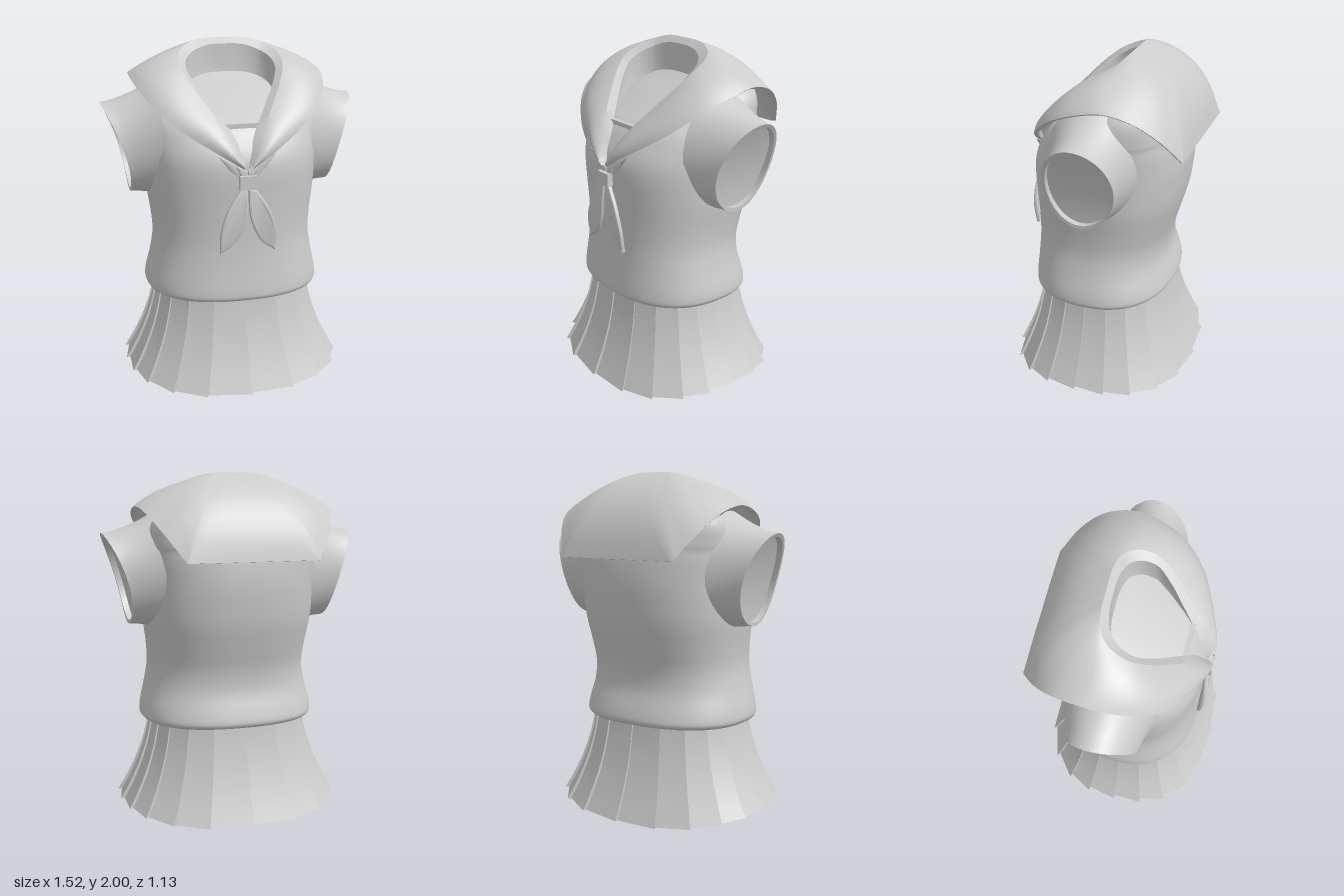
import * as THREE from 'three';
import { toCreasedNormals } from 'three/addons/utils/BufferGeometryUtils.js';

const V = (x, y, z) => new THREE.Vector3(x, y, z);
const cloth = new THREE.MeshStandardMaterial({ color: 0xcccccc, side: THREE.DoubleSide });

// Skin a list of rings
function loft(rings, closed) {
  const n = rings[0].length, index = [];
  for (let r = 0; r < rings.length - 1; r++) {
    for (let i = 0; i < (closed ? n : n - 1); i++) {
      const a = r * n + i, b = r * n + (i + 1) % n;
      index.push(a, b, b + n, a, b + n, a + n);
    }
  }
  const g = new THREE.BufferGeometry().setFromPoints(rings.flat());
  g.setIndex(index);
  g.computeVertexNormals();
  return g;
}

function add(parent, name, geometry) {
  const mesh = new THREE.Mesh(geometry, cloth);
  mesh.name = name;
  parent.add(mesh);
  return mesh;
}

const spow = (v, e) => Math.sign(v) * Math.abs(v) ** e;

// Torso: superellipse sections [y, half width, front z, back z], closed by a slope at the neck
function torsoGeometry() {
  const rows = [
    [0.555, 0.47, 0.39, -0.37], [0.54, 0.5, 0.415, -0.395], [0.555, 0.52, 0.43, -0.412],
    [0.58, 0.526, 0.433, -0.415], [0.64, 0.518, 0.428, -0.4], [0.75, 0.492, 0.417, -0.37],
    [0.87, 0.474, 0.41, -0.375], [1.0, 0.482, 0.41, -0.41], [1.15, 0.503, 0.416, -0.45],
    [1.3, 0.512, 0.422, -0.47], [1.4, 0.515, 0.405, -0.475], [1.5, 0.52, 0.35, -0.47],
    [1.56, 0.52, 0.3, -0.46], [1.6, 0.52, 0.24, -0.455], [1.7, 0.5, 0.07, -0.43],
    [1.77, 0.44, -0.06, -0.39], [1.81, 0.3, -0.13, -0.32], [1.815, 0.01, -0.2, -0.22],
  ];
  const curve = k => new THREE.CatmullRomCurve3(rows.map(r => V(r[1], r[0], r[k])), false, 'catmullrom');
  const front = curve(2), back = curve(3), steps = (rows.length - 1) * 4, rings = [];
  for (let s = 0; s <= steps; s++) {
    const f = front.getPoint(s / steps), b = back.getPoint(s / steps), ring = [];
    const mid = (f.z + b.z) / 2, half = (f.z - b.z) / 2;
    for (let i = 0; i < 112; i++) {
      const a = i / 112 * Math.PI * 2;
      ring.push(V(f.x * spow(Math.sin(a), 0.84), f.y, mid + half * spow(Math.cos(a), 0.84)));
    }
    rings.push(ring);
  }
  return loft(rings, true);
}

// Cap sleeve: wide at the shoulder, easing to a slanted opening with a shallow closed recess
function sleeveGeometry(side) {
  const loop = (t, k, inset) => Array.from({ length: 56 }, (_, i) => {
    const a = i / 56 * Math.PI * 2, c = Math.cos(a), s = Math.sin(a);
    const root = V(0.44, 1.445 + 0.335 * s, -0.04 + 0.268 * c);
    const end = V(0, 1.395 + 0.265 * s * k, -0.045 + (0.205 * c - 0.012 * s) * k);
    end.x = 0.605 + 0.155 * ((1 + s * k) / 2) ** 1.9;
    const x = THREE.MathUtils.lerp(root.x, end.x, t) - inset;
    const p = root.lerp(end, 1 - (1 - t) ** 1.5);
    return V(side * x, p.y, p.z);
  });
  const rings = [0, 0.15, 0.3, 0.45, 0.6, 0.75, 0.9, 1].map(t => loop(t, 1, 0));
  rings.push(loop(1, 0.92, 0), ...[0.92, 0.6, 0.3, 0.01].map(k => loop(1, k, 0.035)));
  return toCreasedNormals(loft(rings, true), 0.7);
}

// Collar: matching neck and outer edges of one half, mirrored over x
function collarGeometry() {
  const neck = [[0.015, 1.36, 0.43], [0.06, 1.45, 0.41], [0.12, 1.56, 0.35], [0.2, 1.68, 0.25],
    [0.27, 1.79, 0.15], [0.307, 1.87, 0.06], [0.297, 1.925, -0.04], [0.25, 1.96, -0.11],
    [0.19, 1.985, -0.14], [0.13, 1.997, -0.152], [0.08, 2, -0.155], [0, 2, -0.155]];
  const edge = [[0.02, 1.335, 0.445], [0.12, 1.4, 0.435], [0.25, 1.48, 0.388], [0.4, 1.58, 0.31],
    [0.5, 1.68, 0.2], [0.555, 1.75, 0.08], [0.58, 1.8, -0.07], [0.577, 1.81, -0.17],
    [0.55, 1.77, -0.31], [0.487, 1.67, -0.435], [0.385, 1.515, -0.545]];
  const neckCurve = new THREE.CatmullRomCurve3(neck.map(p => V(...p)));
  const edgeCurve = new THREE.CatmullRomCurve3(edge.map(p => V(...p)));
  const section = u => {
    const a = neckCurve.getPoint(u / 11);
    const b = edgeCurve.getPoint(Math.min(u / 10, 1));
    if (u > 10) b.x *= 11 - u;
    const w = THREE.MathUtils.smoothstep(u, 7, 10.5);
    const bulge = V(0.014 * (1 - w), 0.016 + 0.046 * w, 0.02 - 0.094 * w);
    const surface = s => a.clone().lerp(b, s).addScaledVector(bulge, 4 * s * (1 - s));
    const under = s => {
      const p = surface(s);
      return p.addScaledVector(V(0, 1.45, -0.05).sub(p).normalize(), 0.025);
    };
    // Thick neck edge and the two bands standing inside it
    const round = THREE.MathUtils.smoothstep(u, 2, 6), deep = Math.min(1, u / 6);
    const rim = V(a.x - 0.044 * Math.min(1, a.x / 0.08), a.y - 0.018 - 0.015 * round,
      a.z < 0.1 ? 0.1 + (a.z - 0.1) * 0.86 : a.z);
    rim.z -= 0.03 * (1 - round) * Math.min(1, u);
    const band = rim.clone();
    band.y -= 0.1 * deep;
    const base = band.clone().multiply(V(0.97, 1, 0.95));
    base.y -= 0.07 * deep;
    return [base, band, rim, ...[0, 1, 2, 3, 4, 5, 6, 7, 8].map(i => surface(i / 8)), under(1), under(0.5), under(0.1)];
  };
  const half = Array.from({ length: 67 }, (_, i) => section(i / 6));
  const other = half.slice(0, -1).reverse().map(r => r.map(p => V(-p.x, p.y, p.z)));
  return toCreasedNormals(loft([...half, ...other], false), 0.4);
}

// Skirt: twenty knife pleats, each raised at one edge and tucked in at the other
function skirtGeometry() {
  const pleats = 20, rings = [];
  for (let r = 0; r <= 8; r++) {
    const t = r / 8, flare = 0.25 * t + 0.75 * t * t, ring = [];
    const hx = 0.465 + 0.2 * flare, hz = 0.39 + 0.173 * flare;
    for (let k = 0; k < pleats; k++) {
      for (const [turn, scale] of [[k, 1 - 0.015 - 0.02 * t], [k + 1, 1]]) {
        let a = turn / pleats * Math.PI * 2;
        a += 0.13 * Math.sin(a) ** 2 * Math.sin(2 * a);
        const s = Math.sin(a), c = Math.cos(a);
        ring.push(V(hx * scale * spow(s, 0.8), THREE.MathUtils.lerp(0.6, 0.045 * s * s, t), hz * scale * spow(c, 0.8)));
      }
    }
    rings.push(ring);
  }
  return toCreasedNormals(loft(rings, true), 0.25);
}

// Soft flat piece of scarf from an outline, bowed forward between its ends
function scarfPiece(points, side, depth, bow) {
  const shape = new THREE.Shape(points.map(([x, y]) => new THREE.Vector2(side * x, y)));
  const g = new THREE.ExtrudeGeometry(shape, {
    depth, bevelEnabled: true, bevelSize: 0.012, bevelOffset: -0.012, bevelThickness: 0.008, bevelSegments: 2,
  });
  const p = g.attributes.position;
  for (let i = 0; i < p.count; i++) {
    const t = THREE.MathUtils.clamp((1.23 - p.getY(i)) / 0.38, 0, 1);
    p.setZ(i, p.getZ(i) + bow * Math.sin(Math.PI * t));
  }
  return toCreasedNormals(g, 0.6);
}

export function createModel() {
  const model = new THREE.Group();
  model.name = 'sailorOutfit';
  add(model, 'torso', torsoGeometry());
  add(model, 'collar', collarGeometry());
  add(model, 'skirt', skirtGeometry());
  add(model, 'chestPanelEdge', new THREE.BoxGeometry(0.2, 0.04, 0.035)).position.set(0, 1.55, 0.298);

  // Lining closing the skirt from below
  const lining = new THREE.CircleGeometry(1, 64).rotateX(Math.PI / 2).scale(0.57, 1, 0.475);
  add(model, 'skirtLining', lining).position.y = 0.15;

  const scarf = new THREE.Group();
  scarf.name = 'scarf';
  model.add(scarf);
  add(scarf, 'knot', new THREE.BoxGeometry(0.1, 0.078, 0.04)).position.set(0, 1.262, 0.437);
  const spline = (points, n) => new THREE.CatmullRomCurve3(points.map(([x, y]) => V(x, y, 0))).getPoints(n);
  const outer = spline([[0.04, 1.23], [0.12, 1.11], [0.163, 0.98], [0.163, 0.85]], 14);
  const inner = spline([[0.163, 0.85], [0.08, 0.91], [0.025, 1.01], [0.004, 1.1], [0.004, 1.23]], 16).slice(1);
  const outline = [...outer, ...inner].map(p => [p.x, p.y]);
  for (const side of [1, -1]) {
    const label = side > 0 ? 'left' : 'right';
    add(model, label + 'Sleeve', sleeveGeometry(side));
    add(scarf, label + 'Tail', scarfPiece(outline, side, 0.01, 0.018)).position.z = 0.428;
    // Gathers fanning up to the collar edge
    add(scarf, label + 'GatherOuter', scarfPiece([[0.02, 1.28], [0.048, 1.28], [0.1, 1.33], [0.165, 1.415], [0.07, 1.365]], side, 0.008, 0))
      .position.z = 0.408;
    add(scarf, label + 'GatherInner', scarfPiece([[0.002, 1.28], [0.035, 1.28], [0.07, 1.36], [0.03, 1.338], [0.002, 1.325]], side, 0.008, 0))
      .position.z = 0.418;
  }
  return model;
}
